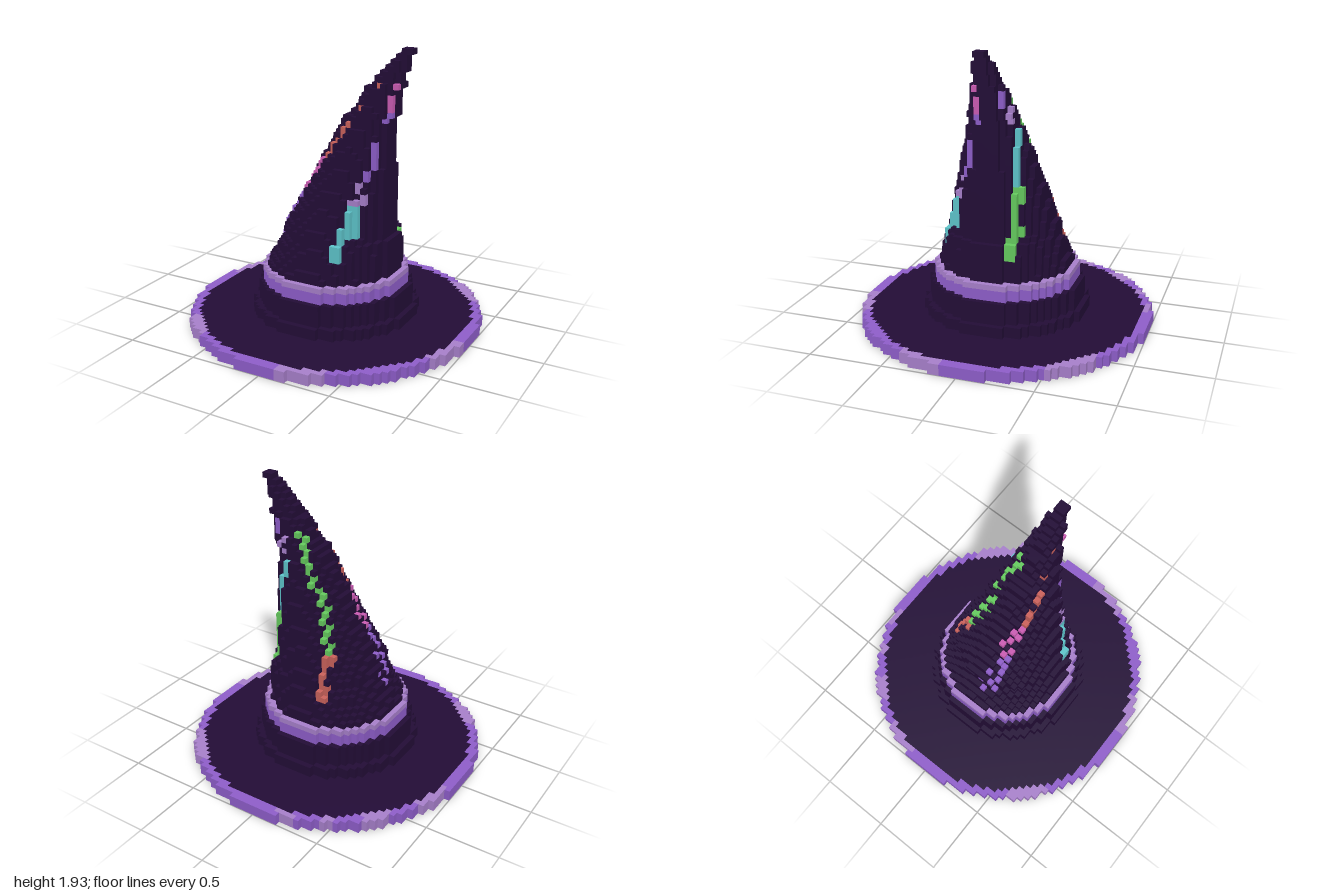
import * as THREE from 'three';

const V = 2 / 54; // edge of one cube

const paint = (name, color) => {
  const m = new THREE.MeshStandardMaterial({ color });
  m.name = name;
  return m;
};
const M = {
  dark: paint('midnight', 0x230d37),
  purple: paint('purple', 0x8f5ecb),
  light: paint('lilac', 0xa880cc),
  cyan: paint('cyan', 0x5ec5cc),
  green: paint('green', 0x66cc5f),
  red: paint('coral', 0xcc625c),
  pink: paint('pink', 0xcc5cb4),
};

// The six sides of a cube: normal and two edge directions with u x v = n
const SIDES = [
  [[1, 0, 0], [0, 1, 0], [0, 0, 1]], [[-1, 0, 0], [0, 0, 1], [0, 1, 0]],
  [[0, 1, 0], [0, 0, 1], [1, 0, 0]], [[0, -1, 0], [1, 0, 0], [0, 0, 1]],
  [[0, 0, 1], [1, 0, 0], [0, 1, 0]], [[0, 0, -1], [0, 1, 0], [1, 0, 0]],
];

const key = (x, y, z) => x + ',' + y + ',' + z;

export function createModel() {
  const cells = new Map();
  const put = (x, y, z, part, color) => cells.set(key(x, y, z), { x, y, z, part, color });

  // One layer of cubes filling a circle
  const disc = (y, cx, r, choose) => {
    for (let x = -27; x < 27; x++) for (let z = -27; z < 27; z++) {
      const d = Math.hypot(x + 0.5 - cx, z + 0.5);
      if (d < r) put(x, y, z, ...choose(d, x + 0.5, z + 0.5));
    }
  };

  // Brim with a rim in two purples, patched by angle
  const patches = [[6, 26], [65, 84], [125, 142], [190, 205], [217, 227], [238, 243], [253, 260], [307, 328]];
  for (let y = 0; y < 2; y++) disc(y, 0, 27, (d, x, z) => {
    if (d < 25.45) return ['brim', 'dark'];
    const a = (Math.atan2(z, x) * 180 / Math.PI + 360) % 360;
    return ['rim', patches.some(([p, q]) => a > p && a < q) ? 'light' : 'purple'];
  });

  // Foot of the crown and the hat band
  for (let y = 2; y < 8; y++) disc(y, 0, y < 4 ? 15 : 14, () => ['crown', 'dark']);
  for (let y = 8; y < 11; y++) disc(y, 0, 13, d => d < 11 ? ['crown', 'dark'] : ['band', y === 10 ? 'light' : 'purple']);

  // Tapering crown, leaning so that its left side follows stepped edges
  const steps = [[51, 15], [48, 14], [45, 13], [40, 12], [18, 11], [11, 12]];
  for (let y = 11; y < 52; y++) {
    const edge = steps.find(s => y >= s[0])[1];
    const r = 12.1 - 11.1 * Math.pow((y - 11) / 40, 0.95);
    disc(y, edge - r, r, () => ['crown', 'dark']);
  }

  // Recolour the outermost cube found from one side: f front, b back, l left
  const mark = (side, i, y, color) => {
    for (let d = 26; d >= -27; d--) {
      const c = cells.get(side === 'f' ? key(i, y, d) : side === 'b' ? key(i, y, -1 - d) : key(d, y, i));
      if (c) {
        c.part = 'streak';
        c.color = color;
        return;
      }
    }
  };
  const stroke = (side, color, y0, i0, y1 = y0, i1 = i0, width = 1) => {
    for (let y = y0; y <= y1; y++) {
      const i = Math.round(i0 + (i1 - i0) * (y - y0) / Math.max(1, y1 - y0));
      for (let w = 0; w < width; w++) mark(side, i + w, y, color);
    }
  };

  // Right front streak
  stroke('f', 'purple', 15, -10, 17, -9);
  stroke('f', 'purple', 18, -9, 24, -5);
  stroke('f', 'pink', 25, -5, 31, -1);
  stroke('f', 'red', 32, 0, 38, 4);
  stroke('f', 'red', 41, 6);
  stroke('f', 'red', 45, 9);
  // Left front streak
  stroke('f', 'cyan', 15, 4, 17, 4, 2);
  stroke('f', 'cyan', 18, 5);
  stroke('f', 'cyan', 19, 5, 20, 5, 3);
  stroke('f', 'cyan', 21, 6, 24, 6, 2);
  stroke('f', 'light', 25, 6, 25, 6, 3);
  stroke('f', 'light', 26, 8);
  stroke('f', 'light', 27, 7, 28, 7);
  stroke('f', 'purple', 29, 8, 30, 8);
  stroke('f', 'purple', 31, 9, 35, 9);
  stroke('l', 'purple', 39, 1, 40, 1);
  stroke('f', 'pink', 41, 11, 43, 11);
  stroke('f', 'pink', 45, 12);
  // Left back streak
  stroke('l', 'green', 15, -5, 18, -5, 2);
  stroke('l', 'green', 19, -6, 20, -6, 2);
  stroke('l', 'green', 21, -5, 24, -5);
  stroke('l', 'green', 25, -6, 27, -6, 2);
  stroke('l', 'cyan', 28, -5, 38, -5);
  stroke('l', 'light', 39, -4, 41, -4);
  stroke('l', 'purple', 42, -3, 44, -3);
  // Back streak
  stroke('b', 'red', 15, -4, 17, -4, 2);
  stroke('b', 'red', 18, -3, 20, -3);
  stroke('b', 'red', 21, -4, 22, -4, 2);
  stroke('b', 'green', 23, -3, 32, 0);
  stroke('b', 'green', 33, 1, 42, 6);

  // Gather the exposed cube sides for each part and colour
  const groups = new Map();
  for (const c of cells.values()) {
    for (const [n, u, v] of SIDES) {
      if (cells.has(key(c.x + n[0], c.y + n[1], c.z + n[2]))) continue;
      const id = c.part + ' ' + c.color;
      if (!groups.has(id)) groups.set(id, { part: c.part, color: c.color, pos: [], nor: [] });
      const g = groups.get(id);
      const p = [c.x, c.y, c.z];
      for (const [a, b] of [[0, 0], [1, 0], [1, 1], [0, 0], [1, 1], [0, 1]]) {
        for (let k = 0; k < 3; k++) g.pos.push((p[k] + Math.max(0, n[k]) + a * u[k] + b * v[k]) * V);
        g.nor.push(...n);
      }
    }
  }

  const hat = new THREE.Group();
  hat.name = 'pointedHat';
  for (const { part, color, pos, nor } of groups.values()) {
    const geo = new THREE.BufferGeometry();
    geo.setAttribute('position', new THREE.Float32BufferAttribute(pos, 3));
    geo.setAttribute('normal', new THREE.Float32BufferAttribute(nor, 3));
    const mesh = new THREE.Mesh(geo, M[color]);
    mesh.name = part === 'brim' || part === 'crown' ? part : part + ' ' + M[color].name;
    hat.add(mesh);
  }
  return hat;
}
